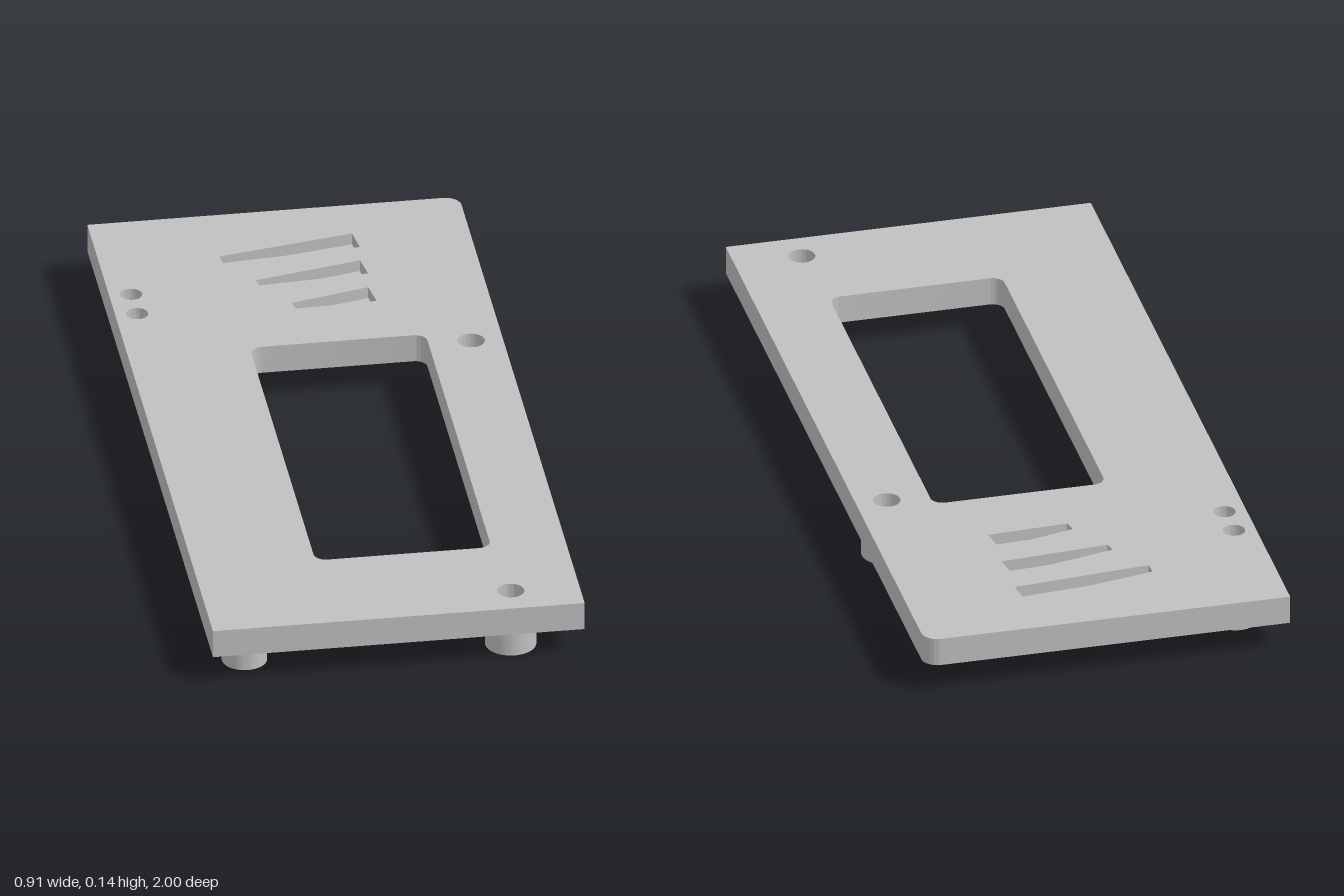
import * as THREE from 'three';
import { toCreasedNormals } from 'three/addons/utils/BufferGeometryUtils.js';

const BASE = 0.073, TOP = 0.145, SLOT_DEPTH = 0.03;
const BORE = 0.033;

// Through holes as [x, z, radius]
const holes = [
  [-0.4, -0.65, 0.027], [-0.4, -0.555, 0.027],
  [0.376, -0.304, BORE], [0.286, 0.913, BORE],
];

// Tapered blind slots, corners as [x, z]
const slots = [
  [[-0.161, -0.8], [0.171, -0.862], [0.18, -0.794], [-0.159, -0.767]],
  [[-0.093, -0.672], [0.17, -0.73], [0.18, -0.664], [-0.087, -0.646]],
  [[-0.024, -0.55], [0.17, -0.598], [0.18, -0.529], [-0.018, -0.521]],
];

// Shapes are drawn in plan with shape y = -z
function circle(path, x, z, r) {
  path.absarc(x, -z, r, 0, Math.PI * 2);
  return path;
}

function roundedWindow(x0, x1, z0, z1, r) {
  const p = new THREE.Path();
  p.absarc(x1 - r, -z0 - r, r, 0, Math.PI / 2);
  p.absarc(x0 + r, -z0 - r, r, Math.PI / 2, Math.PI);
  p.absarc(x0 + r, -z1 + r, r, Math.PI, Math.PI * 1.5);
  p.absarc(x1 - r, -z1 + r, r, Math.PI * 1.5, Math.PI * 2);
  p.closePath();
  return p;
}

// Plate outline with one rounded back corner, a window and the round holes
function plateShape() {
  const w = 0.453, r = 0.04;
  const s = new THREE.Shape();
  s.moveTo(-w, -1);
  s.lineTo(w, -1);
  s.absarc(w - r, 1 - r, r, 0, Math.PI / 2);
  s.lineTo(-w, 1);
  s.closePath();
  s.holes.push(roundedWindow(-0.157, 0.272, -0.35, 0.697, 0.03));
  for (const [x, z, rad] of holes) s.holes.push(circle(new THREE.Path(), x, z, rad));
  return s;
}

function slab(name, shape, y0, y1, material) {
  const raw = new THREE.ExtrudeGeometry(shape, { depth: y1 - y0, bevelEnabled: false, curveSegments: 20 });
  raw.rotateX(-Math.PI / 2).translate(0, y0, 0);
  const mesh = new THREE.Mesh(toCreasedNormals(raw, 0.6), material);
  mesh.name = name;
  return mesh;
}

export function createModel() {
  const model = new THREE.Group();
  model.name = 'coverPlate';
  const grey = new THREE.MeshStandardMaterial({ color: 0xc0c0c0 });
  grey.name = 'lightGrey';

  // The lower layer is the slot floor; the upper layer is cut by the slots
  const floorY = TOP - SLOT_DEPTH;
  model.add(slab('plateLower', plateShape(), BASE, floorY, grey));
  const upper = plateShape();
  for (const pts of slots) {
    upper.holes.push(new THREE.Path(pts.map(([x, z]) => new THREE.Vector2(x, -z))));
  }
  model.add(slab('plateUpper', upper, floorY, TOP, grey));

  // Hollow screw posts under the two larger holes
  for (const [x, z] of holes.slice(2)) {
    const ring = circle(new THREE.Shape(), x, z, 0.062);
    ring.holes.push(circle(new THREE.Path(), x, z, BORE));
    model.add(slab('screwPost', ring, 0, BASE, grey));
  }

  // Solid support feet along the right edge
  for (const z of [-0.825, 0.893]) {
    model.add(slab('supportFoot', circle(new THREE.Shape(), -0.36, z, 0.055), 0, BASE, grey));
  }
  return model;
}
